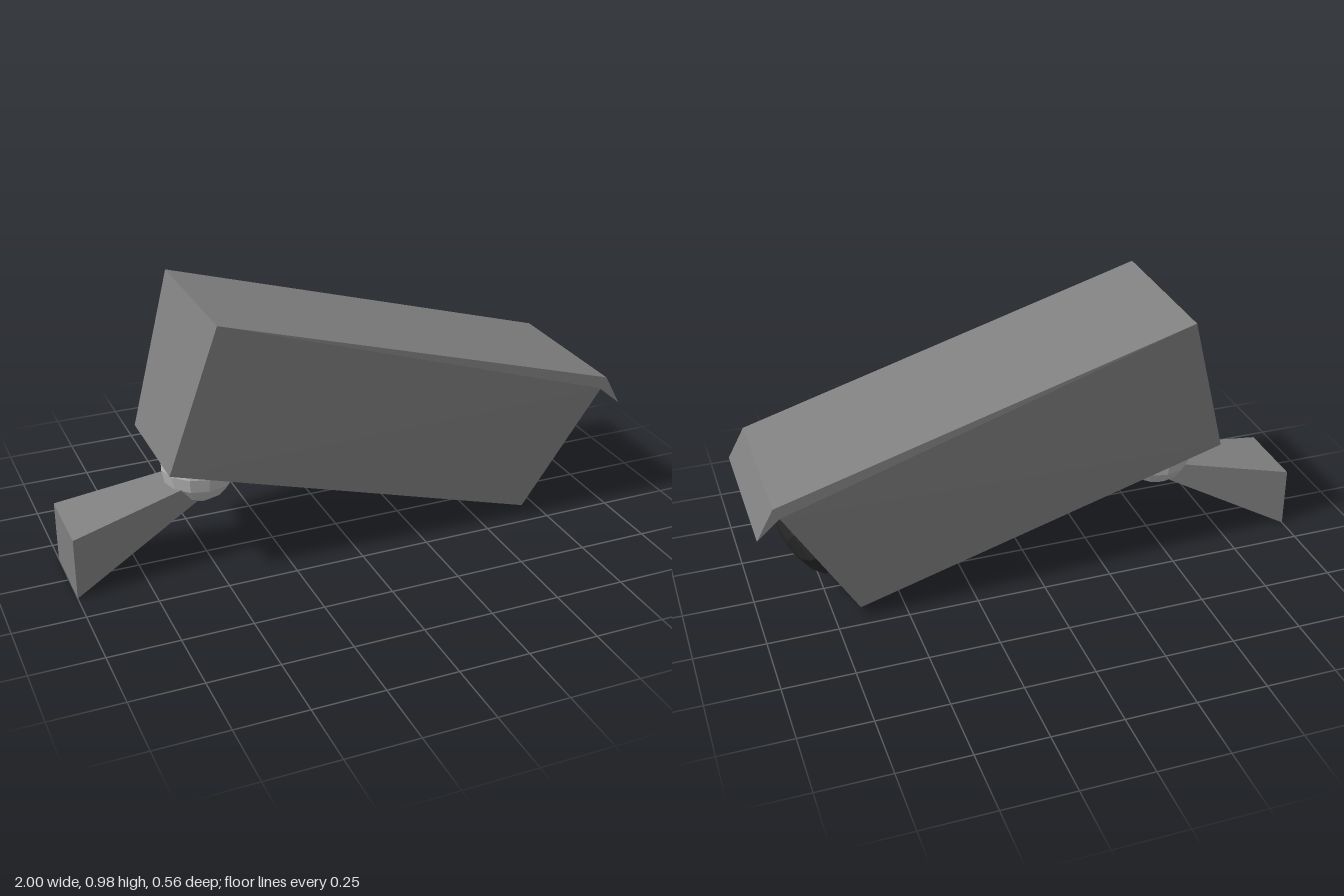
import * as THREE from 'three';
import { ConvexGeometry } from 'three/addons/geometries/ConvexGeometry.js';

const material = (color) => new THREE.MeshStandardMaterial({ color, flatShading: true });

export function createModel() {
  const group = new THREE.Group();
  const darkGrey = material(0x808080);

  const add = (name, geometry, mat) => {
    const mesh = new THREE.Mesh(geometry, mat);
    mesh.name = name;
    group.add(mesh);
    return mesh;
  };

  // Solid from side-profile points [x, y, halfWidth], mirrored about z = zMid
  const solid = (profile, zMid = 0) => new ConvexGeometry(profile.flatMap(([x, y, w]) => [
    new THREE.Vector3(x, y, zMid + w),
    new THREE.Vector3(x, y, zMid - w),
  ]));

  // Camera housing: tilted box, narrower at the bottom, with a raked front
  add('housing', solid([
    [-0.52, 0.975, 0.28], [-0.68, 0.44, 0.21], [0.662, 0.043, 0.21],
    [0.92, 0.505, 0.28], [0.94, 0.545, 0.28],
  ]), darkGrey);

  // Visor lip over the lens
  add('visor', solid([[0.94, 0.545, 0.28], [1.0, 0.435, 0.28], [0.92, 0.505, 0.28]]), darkGrey);

  // Wall arm, flaring toward the wall
  add('wallArm', solid([
    [-1, 0.225, 0.139], [-1, 0, 0.139], [-0.55, 0.243, 0.075], [-0.55, 0.315, 0.075],
  ], -0.01), darkGrey);

  // Ball joint under the rear of the housing
  add('ballJoint', new THREE.SphereGeometry(0.133, 12, 8), material(0xb8b8b8))
    .position.set(-0.515, 0.351, -0.01);

  // Parts on the front face share its frame: y out of the face, x across it
  const out = new THREE.Vector3(0.5, -0.28, 0).normalize();
  const across = new THREE.Vector3(0, 0, 1);
  const facing = new THREE.Quaternion().setFromRotationMatrix(
    new THREE.Matrix4().makeBasis(across, out, across.clone().cross(out)));

  // Lens: flattened ten-sided dome
  const lens = add('lens',
    new THREE.SphereGeometry(0.185, 10, 4, 0, Math.PI * 2, 0, Math.PI / 2).scale(1, 0.5, 1),
    material(0x2a2a2a));
  lens.position.set(0.783, 0.265, 0);
  lens.quaternion.copy(facing);

  // Indicator light
  const light = add('indicatorLight', new THREE.BoxGeometry(0.06, 0.012, 0.028), material(0xcc3333));
  light.position.set(0.861, 0.398, -0.184);
  light.quaternion.copy(facing);

  return group;
}
